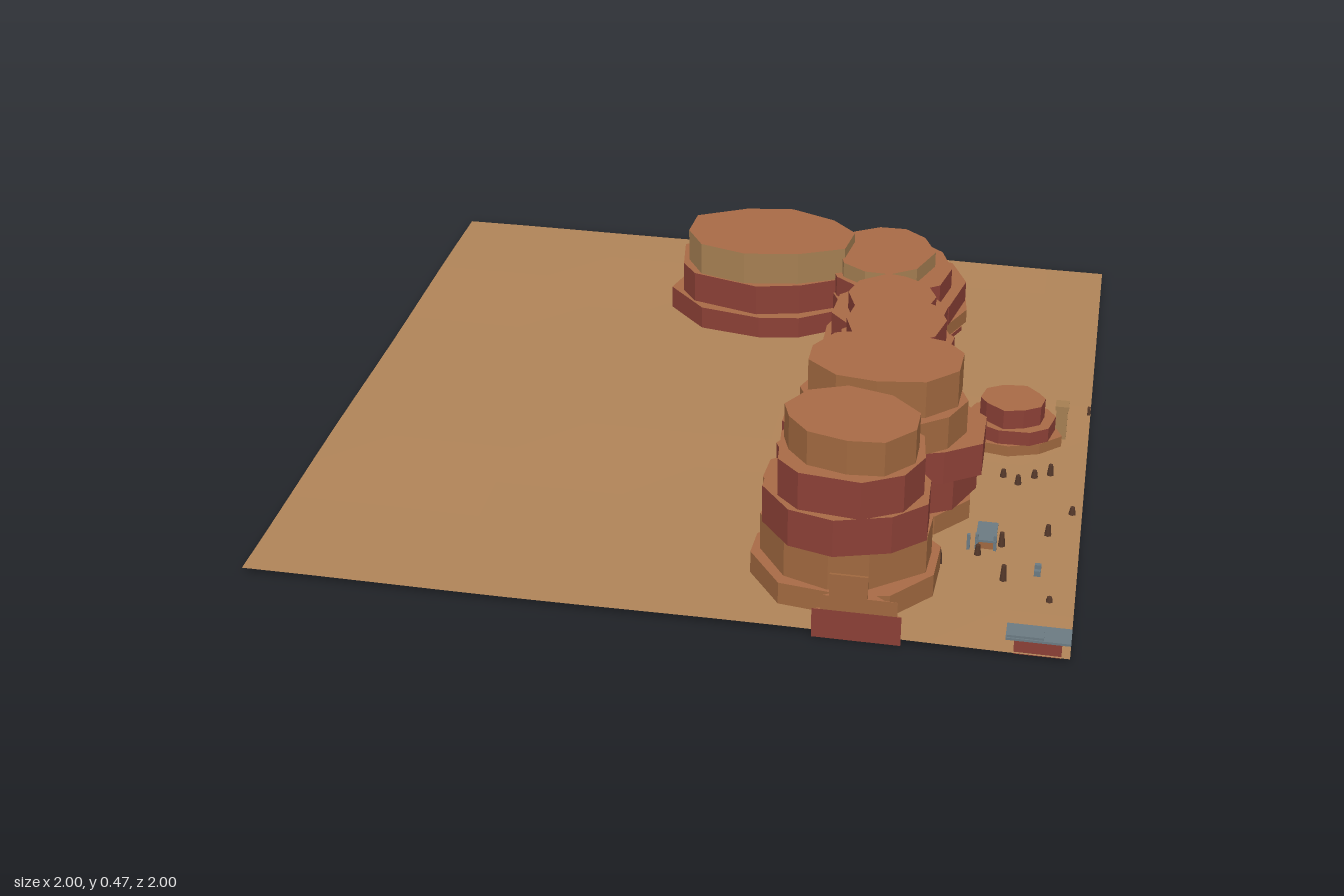
import * as THREE from 'three';

const mat = (name, color) => {
  const m = new THREE.MeshStandardMaterial({ color });
  m.name = name;
  return m;
};

export function createModel() {
  const root = new THREE.Group();
  root.name = 'desertMesas';

  const sand = mat('sand', 0xb08458);
  sand.side = THREE.DoubleSide;
  const cap = mat('mesaTop', 0xa86a46);
  const red = mat('redRock', 0x8b4036);
  const brown = mat('brownRock', 0xa0683f);
  const tan = mat('tanRock', 0xa57f52);
  const steel = mat('steel', 0x6b7a82);
  const dark = mat('darkScrub', 0x54382a);

  // small seeded generator for the rock outlines
  let seed = 7;
  const rnd = () => (seed = (seed * 16807) % 2147483647) / 2147483647;

  // faceted prism fitted to a footprint, open below, with a separate top colour
  function tier(y0, y1, [x0, x1, z0, z1], side) {
    const n = 10, turn = rnd() * 0.6;
    const rim = Array.from({ length: n }, (_, i) => {
      const a = ((i + (rnd() - 0.5) * 0.45) / n) * Math.PI * 2 + turn;
      const r = 0.94 + rnd() * 0.12;
      return [Math.sin(a) * r, Math.cos(a) * r];
    });
    const fit = (k, lo, hi) => {
      const v = rim.map(p => p[k]), a = Math.min(...v), b = Math.max(...v);
      return t => lo + ((t - a) / (b - a)) * (hi - lo);
    };
    const fx = fit(0, x0, x1), fz = fit(1, z0, z1);
    const g = new THREE.CylinderGeometry(1, 1, y1 - y0, n, 1);
    const p = g.attributes.position;
    for (let i = 0; i < p.count; i++) {
      const x = p.getX(i), z = p.getZ(i), y = p.getY(i) + (y0 + y1) / 2;
      if (Math.hypot(x, z) < 0.1) {
        p.setXYZ(i, (x0 + x1) / 2, y, Math.min(1, (z0 + z1) / 2));
        continue;
      }
      const k = (Math.round((Math.atan2(x, z) / (Math.PI * 2)) * n) + n) % n;
      p.setXYZ(i, fx(rim[k][0]), y, Math.min(1, fz(rim[k][1])));
    }
    const bottom = g.groups.pop();
    g.setIndex(Array.from(g.index.array).slice(0, bottom.start));
    const flat = g.toNonIndexed();
    flat.computeVertexNormals();
    return new THREE.Mesh(flat, [side, cap]);
  }

  // each layer: top height, footprint [x0, x1, z0, z1], side colour
  function mesa(name, layers) {
    const group = new THREE.Group();
    group.name = name;
    let y = 0;
    layers.forEach(([top, box, side], i) => {
      const m = tier(y, top, box, side);
      m.name = 'rockLayer' + (i + 1);
      group.add(m);
      y = top;
    });
    root.add(group);
  }

  // gently uneven ground sheet
  const ground = new THREE.PlaneGeometry(2, 2, 12, 12).rotateX(-Math.PI / 2);
  const gp = ground.attributes.position;
  for (let i = 0; i < gp.count; i++) {
    gp.setY(i, 0.017 + 0.002 * Math.sin(gp.getX(i) * 5) + 0.002 * Math.cos(gp.getZ(i) * 6 + gp.getX(i) * 2));
  }
  const groundFlat = ground.toNonIndexed();
  groundFlat.computeVertexNormals();
  const groundMesh = new THREE.Mesh(groundFlat, sand);
  groundMesh.name = 'ground';
  root.add(groundMesh);

  mesa('tallFrontMesa', [
    [0.08, [0.22, 0.67, 0.57, 0.935], brown],
    [0.18, [0.24, 0.65, 0.595, 0.92], brown],
    [0.28, [0.25, 0.645, 0.58, 0.93], red],
    [0.38, [0.28, 0.63, 0.595, 0.915], red],
    [0.47, [0.29, 0.61, 0.63, 0.885], brown]]);
  mesa('wideMesa', [
    [0.07, [0.19, 0.72, 0.22, 0.58], brown],
    [0.16, [0.22, 0.73, 0.225, 0.58], red],
    [0.25, [0.24, 0.745, 0.23, 0.575], red],
    [0.34, [0.28, 0.7, 0.265, 0.57], brown],
    [0.44, [0.305, 0.68, 0.275, 0.545], brown]]);
  mesa('middleMesa', [
    [0.07, [0.29, 0.655, -0.12, 0.24], red],
    [0.15, [0.31, 0.65, -0.1, 0.225], red],
    [0.23, [0.32, 0.64, -0.085, 0.22], tan],
    [0.295, [0.33, 0.63, -0.08, 0.21], red],
    [0.36, [0.35, 0.61, -0.075, 0.19], red]]);
  mesa('lowMesa', [
    [0.1, [0.235, 0.61, -0.4, -0.0], red],
    [0.13, [0.245, 0.61, -0.385, -0.02], brown],
    [0.18, [0.26, 0.6, -0.37, -0.04], red],
    [0.25, [0.28, 0.59, -0.355, -0.05], red],
    [0.3, [0.32, 0.56, -0.315, -0.07], red]]);
  mesa('steppedBackMesa', [
    [0.03, [0.21, 0.61, -0.81, -0.39], red],
    [0.07, [0.2, 0.62, -0.83, -0.38], brown],
    [0.13, [0.21, 0.61, -0.81, -0.39], red],
    [0.19, [0.22, 0.57, -0.78, -0.41], red],
    [0.235, [0.24, 0.52, -0.745, -0.44], tan]]);
  mesa('broadBackMesa', [
    [0.08, [-0.25, 0.3, -0.8, -0.4], red],
    [0.17, [-0.23, 0.29, -0.79, -0.42], red],
    [0.265, [-0.2, 0.28, -0.757, -0.435], tan]]);
  mesa('smallMesa', [
    [0.045, [0.65, 0.93, -0.06, 0.13], brown],
    [0.085, [0.67, 0.91, -0.05, 0.12], red],
    [0.14, [0.71, 0.88, -0.035, 0.11], red]]);
  // outcrop cut off by the front edge
  mesa('edgeOutcrop', [
    [0.08, [0.4, 0.61, 0.96, 1.16], red],
    [0.12, [0.42, 0.6, 0.965, 1.15], brown]]);

  function box(name, m, w, h, d, x, y, z) {
    const b = new THREE.Mesh(new THREE.BoxGeometry(w, h, d), m);
    b.name = name;
    b.position.set(x, y + h / 2, z);
    root.add(b);
  }
  box('edgeSlab', brown, 0.09, 0.06, 0.006, 0.485, 0.12, 0.997);

  // corner shed with two roofs
  box('shedWall', red, 0.11, 0.045, 0.04, 0.925, 0.01, 0.975);
  box('shedRoof', steel, 0.15, 0.006, 0.06, 0.925, 0.05, 0.97);
  box('porchRoof', steel, 0.085, 0.006, 0.045, 0.895, 0.058, 0.977);

  // lookout tower with a small sign beside it
  box('towerShaft', tan, 0.03, 0.1, 0.03, 0.925, 0.01, 0);
  box('towerTop', tan, 0.036, 0.012, 0.036, 0.925, 0.103, 0);
  box('sign', dark, 0.008, 0.02, 0.012, 0.995, 0.09, 0);

  // small hut with posts
  box('hutWall', brown, 0.045, 0.03, 0.07, 0.772, 0.01, 0.548);
  box('hutRoof', steel, 0.05, 0.006, 0.085, 0.772, 0.04, 0.548);
  for (const [x, z] of [[0.75, 0.585], [0.795, 0.585], [0.73, 0.59]])
    box('post', steel, 0.008, 0.05, 0.008, x, 0.01, z);
  box('barrel', steel, 0.016, 0.02, 0.01, 0.905, 0.012, 0.65);
  box('crate', steel, 0.016, 0.02, 0.01, 0.905, 0.012, 0.677);

  // scattered scrub and stones: x, z, height
  [[0.79, 0.23, 0.02], [0.83, 0.26, 0.025], [0.87, 0.22, 0.02], [0.91, 0.2, 0.03],
    [0.975, 0.38, 0.02], [0.92, 0.49, 0.03], [0.81, 0.56, 0.04], [0.665, 0.665, 0.04],
    [0.755, 0.61, 0.03], [0.825, 0.71, 0.045], [0.94, 0.78, 0.015]].forEach(([x, z, h]) => {
    const s = new THREE.Mesh(new THREE.CylinderGeometry(0.006, 0.01, h, 6), dark);
    s.name = 'scrub';
    s.position.set(x, 0.014 + h / 2, z);
    root.add(s);
  });

  return root;
}
